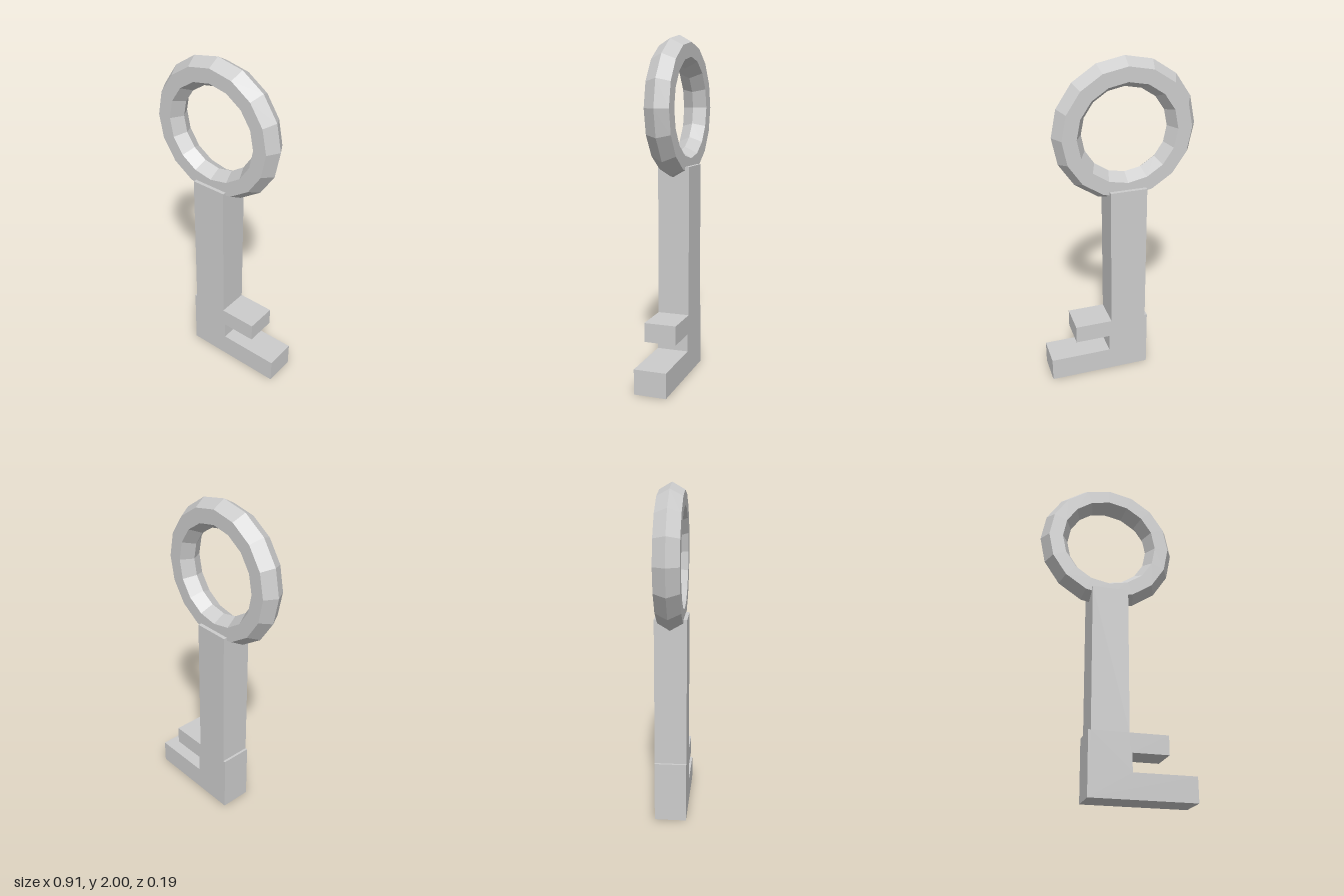
import * as THREE from 'three';

export function createModel() {
  const model = new THREE.Group();
  model.name = 'key';

  const metal = new THREE.MeshStandardMaterial({ color: 0xcccccc });
  metal.name = 'grey metal';
  metal.flatShading = true;

  // Ring handle: hexagonal section, sixteen segments
  const bow = new THREE.Mesh(new THREE.TorusGeometry(0.335, 0.084, 6, 16), metal);
  bow.name = 'ringHandle';
  bow.position.set(-0.04, 1.581, 0);
  model.add(bow);

  // Square shaft and two-toothed bit, cut from one outline
  const outline = [
    [-0.163, 0], [0.456, 0], [0.456, 0.146], [0.085, 0.146],
    [0.085, 0.253], [0.297, 0.253], [0.297, 0.365], [0.07, 0.365],
    [0.07, 1.245], [-0.148, 1.245], [-0.148, 0.365], [-0.163, 0.365],
  ];
  const shape = new THREE.Shape(outline.map(([x, y]) => new THREE.Vector2(x, y)));
  const depth = 0.19;
  const shaftGeometry = new THREE.ExtrudeGeometry(shape, { depth, bevelEnabled: false });
  shaftGeometry.translate(0, 0, -depth / 2 - 0.001);
  const shaft = new THREE.Mesh(shaftGeometry, metal);
  shaft.name = 'shaftAndTeeth';
  model.add(shaft);

  return model;
}
